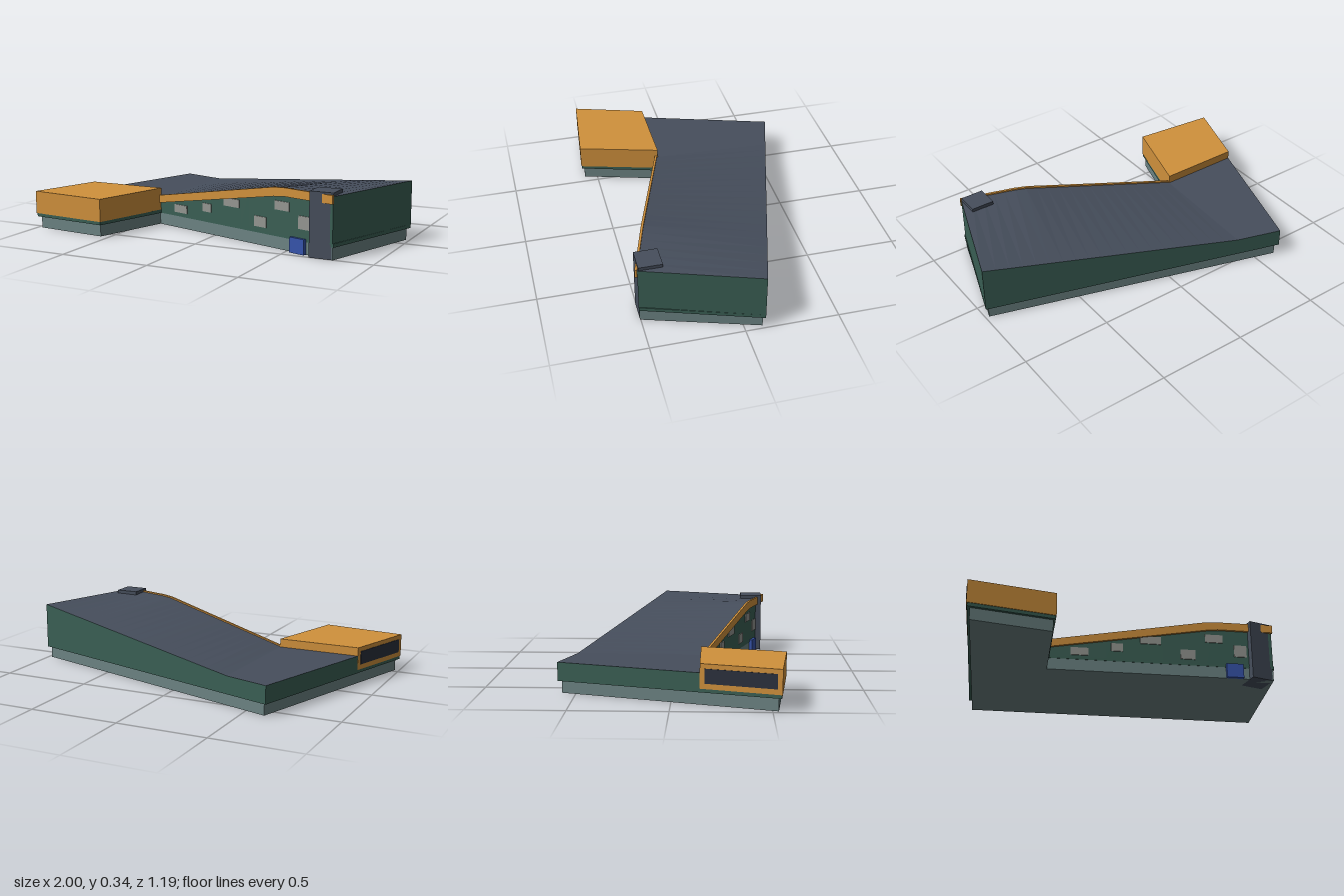
import * as THREE from 'three';

const mat = (name, color) => {
  const m = new THREE.MeshStandardMaterial({ color });
  m.name = name;
  return m;
};

export function createModel() {
  const model = new THREE.Group();
  model.name = 'building';
  const green = mat('wall green', 0x3a5f54);
  const slate = mat('roof slate', 0x464e5c);
  const orange = mat('orange cladding', 0xd0913c);
  const stone = mat('base grey', 0x6c8383);
  const glass = mat('dark glass', 0x2a303d);
  const panel = mat('pale window', 0x949691);
  const blue = mat('door blue', 0x3654ab);

  const add = (parent, name, geometry, material) => {
    const mesh = new THREE.Mesh(geometry, material);
    mesh.name = name;
    parent.add(mesh);
    return mesh;
  };

  // Upright prism over a plan outline of [x, z] points
  const prism = (plan, y0, y1) => {
    const shape = new THREE.Shape(plan.map(([x, z]) => new THREE.Vector2(x, -z)));
    return new THREE.ExtrudeGeometry(shape, { depth: y1 - y0, bevelEnabled: false })
      .rotateX(-Math.PI / 2).translate(0, y0, 0);
  };

  // Flat-faced surface from a list of quads
  const quads = (list) => {
    const pos = [];
    for (const [a, b, c, d] of list) for (const p of [a, b, c, a, c, d]) pos.push(...p);
    const g = new THREE.BufferGeometry();
    g.setAttribute('position', new THREE.Float32BufferAttribute(pos, 3));
    g.computeVertexNormals();
    return g;
  };

  // Recessed base and the floor slab above it
  add(model, 'base', prism([[-0.615, -0.575], [0.98, -0.095], [0.785, 0.505],
    [-0.42, 0.143], [-0.55, 0.573], [-0.975, 0.53]], 0, 0.066), stone);
  add(model, 'floorSlab', prism([[-0.63, -0.595], [1, -0.105], [0.79, 0.508],
    [-0.41, 0.148], [-0.543, 0.588], [-0.995, 0.543]], 0.066, 0.086), green);

  // Main hall: the roof is ruled between the front and back eaves
  const low = 0.165, high = 0.326;
  const wallStart = [-0.41, 0.15], wallEnd = [0.785, 0.508];
  const mix = THREE.MathUtils.lerp;
  const front = [[-0.87, low, 0.147]];
  const back = [[-0.63, low, -0.595]];
  const steps = 20;
  for (let i = 0; i <= steps; i++) {
    const t = i / steps;
    const x = mix(wallStart[0], wallEnd[0], t);
    const rise = Math.min(1, (x + 0.41) / 0.86);
    front.push([x, mix(low, high, rise), mix(wallStart[1], wallEnd[1], t)]);
    back.push([mix(-0.38, 1, t), mix(low, high, t), mix(-0.52, -0.105, t)]);
  }
  const roof = [];
  for (let i = 0; i + 1 < front.length; i++) {
    roof.push([front[i], front[i + 1], back[i + 1], back[i]]);
  }
  add(model, 'roof', quads(roof), slate);

  const rim = [...front, ...back.slice().reverse()];
  const foot = ([x, , z]) => [x, 0.08, z];
  add(model, 'hallWalls', quads(rim.map((a, i) => {
    const b = rim[(i + 1) % rim.length];
    return [foot(a), foot(b), b, a];
  })), green);

  // Orange wing with a long window on its outer side
  const wing = [[-0.87, 0.145], [-0.41, 0.145], [-0.54, 0.592], [-1, 0.546]];
  add(model, 'wing', prism(wing, 0.085, 0.212), orange);
  const [p, q] = [wing[0], wing[3]];
  const length = Math.hypot(q[0] - p[0], q[1] - p[1]);
  const wingWindow = add(model, 'wingWindow',
    new THREE.BoxGeometry(length * 0.88, 0.075, 0.006), glass);
  wingWindow.position.set((p[0] + q[0]) / 2, 0.15, (p[1] + q[1]) / 2);
  wingWindow.rotation.y = -Math.atan2(q[1] - p[1], q[0] - p[0]);

  // Front wall details, laid out along the slanted wall
  const facade = new THREE.Group();
  facade.name = 'frontFacade';
  facade.position.set(wallStart[0], 0, wallStart[1]);
  const angle = Math.atan2(wallEnd[1] - wallStart[1], wallEnd[0] - wallStart[0]);
  facade.rotation.y = -angle;
  model.add(facade);
  const along = (x) => (x - wallStart[0]) / Math.cos(angle);

  const band = new THREE.Shape([[-0.41, 0.128], [0.42, 0.28], [0.49, 0.288], [0.79, 0.288],
    [0.79, 0.334], [0.49, 0.334], [0.42, 0.329], [-0.41, 0.172]]
    .map(([x, y]) => new THREE.Vector2(along(x), y)));
  add(facade, 'eavesBand',
    new THREE.ExtrudeGeometry(band, { depth: 0.013, bevelEnabled: false }), orange);

  // Scattered windows: x from, x to, y from, y to
  for (const [x0, x1, y0, y1] of [
    [-0.3, -0.205, 0.09, 0.135], [-0.085, -0.022, 0.125, 0.172], [0.07, 0.18, 0.18, 0.225],
    [0.285, 0.365, 0.1, 0.157], [0.42, 0.515, 0.21, 0.258], [0.575, 0.643, 0.13, 0.2],
  ]) {
    const w = add(facade, 'window',
      new THREE.BoxGeometry(along(x1) - along(x0), y1 - y0, 0.006), panel);
    w.position.set((along(x0) + along(x1)) / 2, (y0 + y1) / 2, 0.002);
  }

  // Blue door box at the foot of the wall
  const door = add(facade, 'door', new THREE.BoxGeometry(0.095, 0.082, 0.03), blue);
  door.position.set(along(0.574), 0.041, 0.002);

  // Corner tower
  const tower = add(model, 'cornerTower', new THREE.BoxGeometry(0.13, 0.344, 0.127), slate);
  tower.position.set(0.72, 0.172, 0.4395);

  return model;
}
